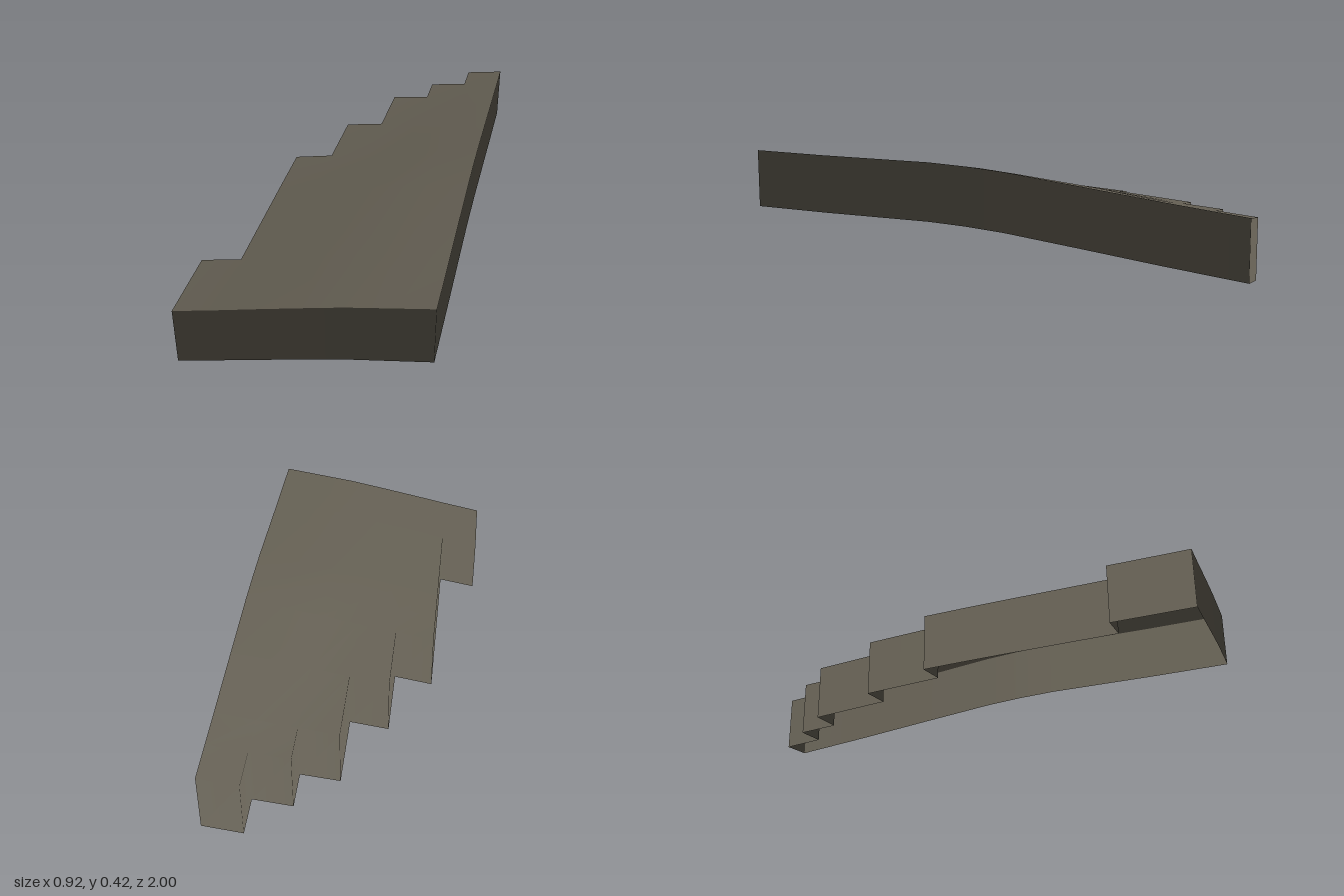
import * as THREE from 'three';

// Grid lines across (x) and stations from front to back (z)
const CELL = 2 / 13;
const STATIONS = [1, 0.692, 0.231, 0.077, -0.077, -0.385, -0.692, -0.846, -1];
// Station at which each column ends, giving the stepped side
const COLUMN_END = [1, 4, 5, 6, 7, 8];
const DEPTH = 1.5 * CELL;
// Height of the skirt's lower rim along each grid line, front to back
const HEIGHTS = [
  [0.013, 0.004],
  [0.044, 0.032, 0.017, 0.011, 0.004],
  [0.077, 0.066, 0.05, 0.042, 0.031, 0.007],
  [0.109, 0.098, 0.083, 0.073, 0.058, 0.03, 0],
  [0.14, 0.131, 0.117, 0.106, 0.09, 0.055, 0.018, 0.004],
  [0.164, 0.156, 0.145, 0.136, 0.12, 0.084, 0.042, 0.023, 0.007],
  [0.188, 0.179, 0.17, 0.161, 0.147, 0.107, 0.066, 0.047, 0.028],
];

const point = (i, j, lift) => [(i - 3) * CELL, HEIGHTS[i][j] + lift, STATIONS[j]];

function buildGeometry(positions, index) {
  const geometry = new THREE.BufferGeometry();
  geometry.setAttribute('position', new THREE.Float32BufferAttribute(positions, 3));
  geometry.setIndex(index);
  geometry.computeVertexNormals();
  return geometry;
}

// Smooth curved top covering every column
function topSheet() {
  const positions = [];
  const index = [];
  const start = [];
  HEIGHTS.forEach((line, i) => {
    start.push(positions.length / 3);
    line.forEach((_, j) => positions.push(...point(i, j, DEPTH)));
  });
  COLUMN_END.forEach((end, i) => {
    for (let j = 0; j < end; j++) {
      const a = start[i] + j;
      const b = start[i + 1] + j;
      index.push(a, b, b + 1, a, b + 1, a + 1);
    }
  });
  return { geometry: buildGeometry(positions, index), start };
}

// Outline of the sheet: front, straight side, then back down the steps
function outline() {
  const path = [];
  for (let i = 0; i <= 6; i++) path.push([i, 0]);
  for (let j = 1; j < STATIONS.length; j++) path.push([6, j]);
  for (let i = 5; i >= 0; i--) {
    const next = i > 0 ? COLUMN_END[i - 1] : 0;
    for (let j = COLUMN_END[i]; j >= next; j--) path.push([i, j]);
  }
  return path;
}

// Hanging skirt, open below, sharing the soft normals of the top
function skirt(top) {
  const positions = [];
  const normals = [];
  const index = [];
  const source = top.geometry.getAttribute('normal');
  const path = outline();
  path.forEach(([i, j], k) => {
    const v = top.start[i] + j;
    for (const lift of [0, DEPTH]) {
      positions.push(...point(i, j, lift));
      normals.push(source.getX(v), source.getY(v), source.getZ(v));
    }
    if (k < path.length - 1) {
      const p = 2 * k;
      index.push(p, p + 2, p + 3, p, p + 3, p + 1);
    }
  });
  const geometry = buildGeometry(positions, index);
  geometry.setAttribute('normal', new THREE.Float32BufferAttribute(normals, 3));
  return geometry;
}

export function createModel() {
  const model = new THREE.Group();
  model.name = 'steppedTerrainTile';
  const stone = new THREE.MeshStandardMaterial({ color: 0x635e52, side: THREE.DoubleSide });
  stone.name = 'greyBrownStone';

  const add = (name, geometry) => {
    const mesh = new THREE.Mesh(geometry, stone);
    mesh.name = name;
    model.add(mesh);
  };
  const top = topSheet();
  add('topSurface', top.geometry);
  add('edgeSkirt', skirt(top));
  return model;
}
